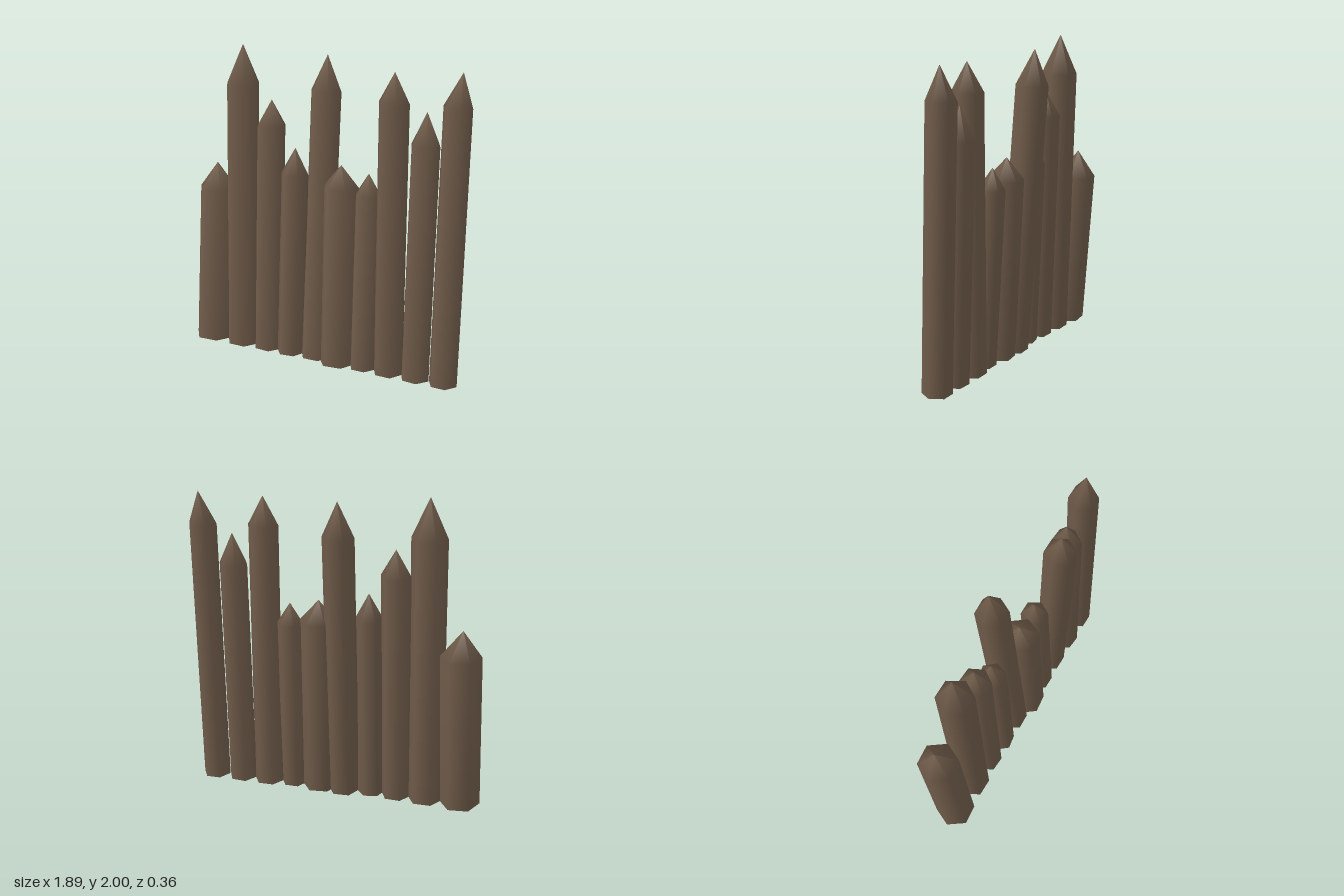
import * as THREE from 'three';

const wood = new THREE.MeshStandardMaterial({ color: 0x705c4a });
wood.name = 'weathered wood';

// base x, base z, shoulder x, shoulder y, shoulder z, tip y, radius, yaw, tip offset in x
const STAKES = [
  [-0.817, 0.03, -0.805, 1.03, -0.05, 1.20, 0.129, 0.05, -0.01],
  [-0.592, 0.035, -0.588, 1.75, -0.02, 2.00, 0.114, -0.04, 0],
  [-0.4, 0.045, -0.387, 1.5, -0.013, 1.667, 0.098, -0.1, 0],
  [-0.232, 0.06, -0.22, 1.21, 0, 1.376, 0.09, 0.13, 0],
  [-0.052, 0.05, -0.043, 1.74, -0.092, 1.963, 0.102, 0, 0],
  [0.112, 0.077, 0.11, 1.17, 0.015, 1.307, 0.118, 0.08, -0.005],
  [0.292, 0.082, 0.29, 1.14, 0.015, 1.275, 0.086, -0.04, 0],
  [0.463, 0.072, 0.474, 1.75, 0.073, 1.932, 0.099, -0.04, 0],
  [0.65, 0.085, 0.66, 1.5, 0.025, 1.70, 0.095, -0.12, 0],
  [0.836, 0.09, 0.852, 1.75, 0.025, 1.955, 0.092, -0.05, 0.022],
];

// One sharpened six-sided stake, leaning from its base towards its shoulder
function makeStake([bx, bz, sx, sy, sz, tipY, r, yaw, tipX]) {
  const baseY = 0.01;
  const base = new THREE.Vector3(bx, baseY, bz);
  const axis = new THREE.Vector3(sx, sy, sz).sub(base);
  const shoulder = axis.length();
  const height = shoulder * (tipY - baseY) / (sy - baseY);
  const stake = new THREE.Group();

  // shaft and point
  const profile = [[r, 0], [r, shoulder], [0, height]].map(p => new THREE.Vector2(...p));
  const body = new THREE.LatheGeometry(profile, 6, Math.PI / 6);
  const pos = body.attributes.position;
  for (let i = 0; i < pos.count; i++) {
    if (pos.getY(i) > shoulder + 0.01) pos.setX(i, pos.getX(i) + tipX);
  }
  const shaft = new THREE.Mesh(body, wood);
  shaft.name = 'stakeShaft';

  // flat underside
  const under = new THREE.Mesh(new THREE.CircleGeometry(r, 6).rotateX(Math.PI / 2), wood);
  under.name = 'stakeUnderside';

  stake.add(shaft, under);
  stake.position.copy(base);
  stake.quaternion.setFromUnitVectors(new THREE.Vector3(0, 1, 0), axis.normalize());
  stake.rotateY(yaw);
  return stake;
}

export function createModel() {
  const palisade = new THREE.Group();
  palisade.name = 'palisade';
  STAKES.forEach((s, i) => {
    const stake = makeStake(s);
    stake.name = `stake${i + 1}`;
    palisade.add(stake);
  });
  return palisade;
}
